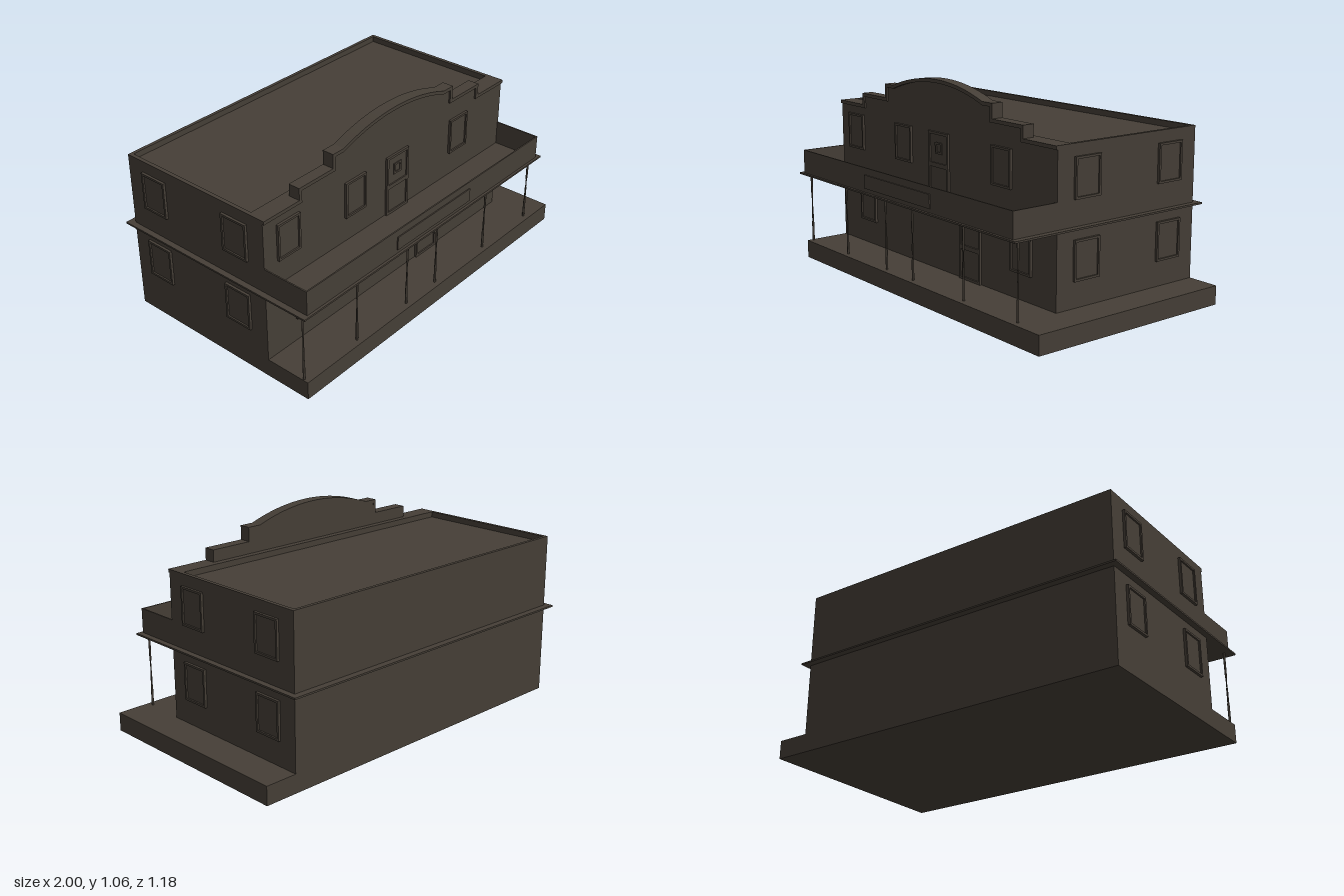
import * as THREE from 'three';

export function createModel() {
  const model = new THREE.Group();
  model.name = 'falseFrontBuilding';
  const wood = new THREE.MeshStandardMaterial({ color: 0x463f37 });
  wood.name = 'dark brown wood';

  const add = (name, geometry, parent = model) => {
    const mesh = new THREE.Mesh(geometry, wood);
    mesh.name = name;
    parent.add(mesh);
    return mesh;
  };
  // Box given by its limits on each axis
  const box = (name, x0, x1, y0, y1, z0, z1, parent) => {
    const mesh = add(name, new THREE.BoxGeometry(x1 - x0, y1 - y0, z1 - z0), parent);
    mesh.position.set((x0 + x1) / 2, (y0 + y1) / 2, (z0 + z1) / 2);
    return mesh;
  };

  const L = -0.97, R = 0.83, BACK = -0.555, FRONT = 0.326;
  const BASE = 0.096, FLOOR = 0.479, TOP = 0.86;

  // Boardwalk base, walls and sunken flat roof
  box('base', L, 1, 0, BASE, BACK, 0.572);
  box('walls', L, R, BASE, 0.83, BACK, FRONT);
  box('backParapet', L, R, 0.83, TOP, BACK, BACK + 0.018);
  box('leftParapet', R - 0.02, R, 0.83, TOP, BACK + 0.018, 0.24);
  box('rightParapet', L, L + 0.02, 0.83, TOP, BACK + 0.018, 0.24);
  box('frontParapet', L, R, 0.83, TOP, 0.24, FRONT);

  // Thin slab round the building, forming the balcony floor
  box('balconySlab', -1, 0.86, 0.47, FLOOR, -0.59, 0.59);
  box('balconyFrontRail', L, R, FLOOR, 0.606, 0.57, 0.577);
  box('balconyLeftRail', R - 0.007, R, FLOOR, 0.606, FRONT, 0.57);
  box('balconyRightRail', L, L + 0.007, FLOOR, 0.606, FRONT, 0.57);
  box('signBoard', -0.35, 0.22, 0.5, 0.57, 0.577, 0.583);

  // Stepped false front with a curved crown
  const cx = -0.07;
  const outline = (inset) => {
    const steps = [[0.675, TOP, 0.922], [0.45, 0.922, 0.995]];
    const right = [];
    for (const [half, low, high] of steps) {
      right.push([half - inset, low - inset], [half - inset, high - inset]);
    }
    // Circular crown: half width 0.375, rise 0.067
    const w = 0.375, rise = 0.067, r = (w * w + rise * rise) / (2 * rise);
    const crown = [];
    for (let i = 0; i <= 24; i++) {
      const x = w - (2 * w * i) / 24;
      crown.push([x, 0.995 - inset + Math.sqrt(r * r - x * x) - (r - rise)]);
    }
    const left = right.map(([x, y]) => [-x, y]).reverse();
    return [...right, ...crown, ...left].map(([x, y]) => new THREE.Vector2(cx + x, y));
  };
  const facade = new THREE.Shape([
    new THREE.Vector2(cx - 0.655, 0.83), new THREE.Vector2(cx + 0.655, 0.83), ...outline(0.018),
  ]);
  add('falseFront', new THREE.ExtrudeGeometry(facade, { depth: FRONT - 0.274, bevelEnabled: false }))
    .position.z = 0.274;
  const trim = new THREE.Shape([
    new THREE.Vector2(R, 0.842), new THREE.Vector2(R, TOP), ...outline(0),
    new THREE.Vector2(L, TOP), new THREE.Vector2(L, 0.842), ...outline(0.018).reverse(),
  ]);
  add('falseFrontTrim', new THREE.ExtrudeGeometry(trim, { depth: 0.062, bevelEnabled: false }))
    .position.z = 0.273;

  // Raised frame with open middle, centred on its own origin, facing +z
  const frame = (name, w, h, t, depth, parent) => {
    const rect = (C, a, b) => new C([
      new THREE.Vector2(-a, -b), new THREE.Vector2(a, -b),
      new THREE.Vector2(a, b), new THREE.Vector2(-a, b),
    ]);
    const shape = rect(THREE.Shape, w / 2, h / 2);
    shape.holes.push(rect(THREE.Path, w / 2 - t, h / 2 - t));
    return add(name, new THREE.ExtrudeGeometry(shape, { depth, bevelEnabled: false }), parent);
  };
  const makeWindow = (name, x, y, z, w, h, turn = 0) => {
    const g = new THREE.Group();
    g.name = name;
    frame('windowFrame', w, h, 0.011, 0.013, g);
    box('windowPane', -w / 2 + 0.011, w / 2 - 0.011, -h / 2 + 0.011, h / 2 - 0.011, -0.002, 0.005, g);
    g.position.set(x, y, z);
    g.rotation.y = turn;
    model.add(g);
  };
  for (const x of [-0.815, -0.36, 0.445]) makeWindow('upperFrontWindow', x, 0.705, FRONT, 0.145, 0.19);
  for (const x of [-0.707, 0.59]) makeWindow('lowerFrontWindow', x, 0.322, FRONT, 0.147, 0.195);
  for (const [x, turn] of [[R, Math.PI / 2], [L, -Math.PI / 2]]) {
    for (const z of [0.15, -0.38]) {
      makeWindow('upperSideWindow', x, 0.703, z, 0.155, 0.195, turn);
      makeWindow('lowerSideWindow', x, 0.322, z, 0.155, 0.195, turn);
    }
  }

  // Two-panel doors
  const makeDoor = (name, x, y, split) => {
    const g = new THREE.Group();
    g.name = name;
    const w = 0.165, h = 0.322, t = 0.013;
    frame('doorFrame', w, h, t, 0.012, g);
    box('doorLeaf', -w / 2 + t, w / 2 - t, -h / 2 + t, h / 2 - t, -0.002, 0.005, g);
    box('doorRail', -w / 2 + t, w / 2 - t, split - 0.011, split + 0.011, 0, 0.012, g);
    g.position.set(x, y, FRONT);
    model.add(g);
    return g;
  };
  makeDoor('lowerDoor', 0.203, BASE + 0.161, 0.003);
  const upperDoor = makeDoor('upperDoor', -0.05, FLOOR + 0.161, -0.006);
  frame('doorLightFrame', 0.056, 0.058, 0.01, 0.01, upperDoor).position.y = 0.08;

  // Slender turned porch posts
  const profile = [[0, 0], [0.006, 0], [0.006, 0.1], [0.0045, 0.11], [0.0045, 0.18],
    [0.003, 0.19], [0.003, 0.235], [0.005, 0.245], [0.006, 0.374], [0, 0.374]]
    .map(([r, y]) => new THREE.Vector2(r, y));
  for (const x of [-0.96, -0.593, -0.22, 0.013, 0.427, 0.82]) {
    add('porchPost', new THREE.LatheGeometry(profile, 10)).position.set(x, BASE, 0.54);
  }
  return model;
}
